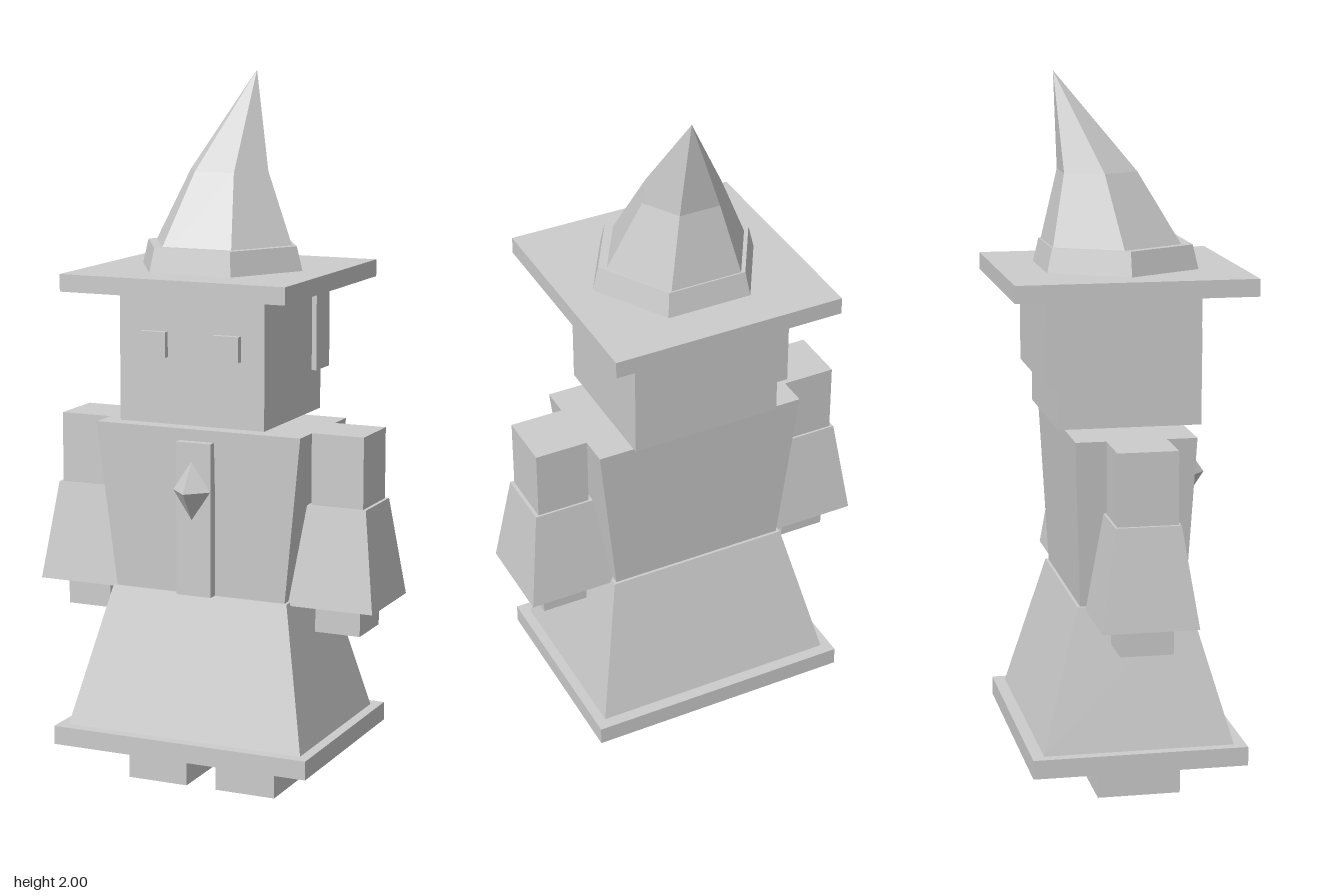
import * as THREE from 'three';

// Frustum box: half sizes at the bottom and top, from y0 to y1
function taperedBox(y0, y1, [bx, bz], [tx, tz] = [bx, bz]) {
  const g = new THREE.BoxGeometry(2, y1 - y0, 2);
  const p = g.attributes.position;
  for (let i = 0; i < p.count; i++) {
    const top = p.getY(i) > 0;
    p.setX(i, p.getX(i) * (top ? tx : bx));
    p.setZ(i, p.getZ(i) * (top ? tz : bz));
  }
  g.translate(0, (y0 + y1) / 2, 0);
  g.computeVertexNormals();
  return g;
}

// Hexagonal crown that leans back and bends towards its tip
function bentCone(rings) {
  const y0 = rings[0].y;
  const y1 = rings[rings.length - 1].y;
  const g = new THREE.CylinderGeometry(1, 1, y1 - y0, 6, rings.length - 1, true);
  g.rotateY(Math.PI / 6);
  const p = g.attributes.position;
  const row = p.count / rings.length;
  for (let i = 0; i < p.count; i++) {
    const k = rings[rings.length - 1 - Math.floor(i / row)];
    p.setXYZ(i, k.x + p.getX(i) * k.r, k.y, k.z + p.getZ(i) * k.r);
  }
  g.computeVertexNormals();
  return g;
}

export function createModel() {
  const model = new THREE.Group();
  const gray = new THREE.MeshStandardMaterial({ color: 0xcccccc, flatShading: true });
  gray.name = 'plain gray';

  const add = (name, geometry, x = 0, z = 0, parent = model) => {
    const mesh = new THREE.Mesh(geometry, gray);
    mesh.name = name;
    mesh.position.set(x, 0, z);
    parent.add(mesh);
    return mesh;
  };

  // Robe
  add('hem', taperedBox(0.124, 0.177, [0.383, 0.299]));
  add('skirt', taperedBox(0.177, 0.566, [0.354, 0.265], [0.265, 0.155]));
  add('torso', taperedBox(0.566, 1.035, [0.256, 0.147], [0.308, 0.167]));
  add('frontStrip', taperedBox(0.57, 1.002, [0.052, 0.015]), 0, 0.174);

  // Gem on the chest
  const gem = new THREE.OctahedronGeometry(1);
  gem.scale(0.056, 0.082, 0.056);
  gem.translate(0, 0.87, 0);
  add('gem', gem, 0, 0.2);

  // Head and hair
  add('head', taperedBox(1.052, 1.42, [0.216, 0.199]));
  add('hair', taperedBox(1.17, 1.42, [0.23, 0.048]), 0, -0.182);

  // Paired parts
  for (const [side, s] of [['left', 1], ['right', -1]]) {
    const leg = new THREE.Group();
    leg.name = side + 'Leg';
    add('boot', taperedBox(0, 0.082, [0.09, 0.117]), s * 0.135, 0.025, leg);
    add('shin', taperedBox(0.082, 0.124, [0.083, 0.091]), s * 0.132, 0, leg);

    const arm = new THREE.Group();
    arm.name = side + 'Arm';
    add('upperArm', taperedBox(0.835, 1.035, [0.076, 0.083]), s * 0.383, 0, arm);
    add('sleeve', taperedBox(0.557, 0.835, [0.124, 0.132], [0.086, 0.089]), s * 0.383, 0, arm);
    add('hand', taperedBox(0.475, 0.557, [0.066, 0.073]), s * 0.383, 0, arm);
    model.add(leg, arm);

    add(side + 'Eye', taperedBox(1.237, 1.307, [0.038, 0.0095]), s * 0.109, 0.207);
  }

  // Hat
  add('hatBrim', taperedBox(1.418, 1.466, [0.331, 0.331]));
  const band = new THREE.CylinderGeometry(0.225, 0.242, 0.067, 6);
  band.rotateY(Math.PI / 6);
  band.translate(0, 1.4995, 0);
  add('hatBand', band);
  add('hatCrown', bentCone([
    { x: 0, y: 1.466, z: 0, r: 0.235 },
    { x: 0.001, y: 1.73, z: -0.05, r: 0.117 },
    { x: 0.033, y: 2, z: -0.165, r: 0 },
  ]));

  return model;
}
